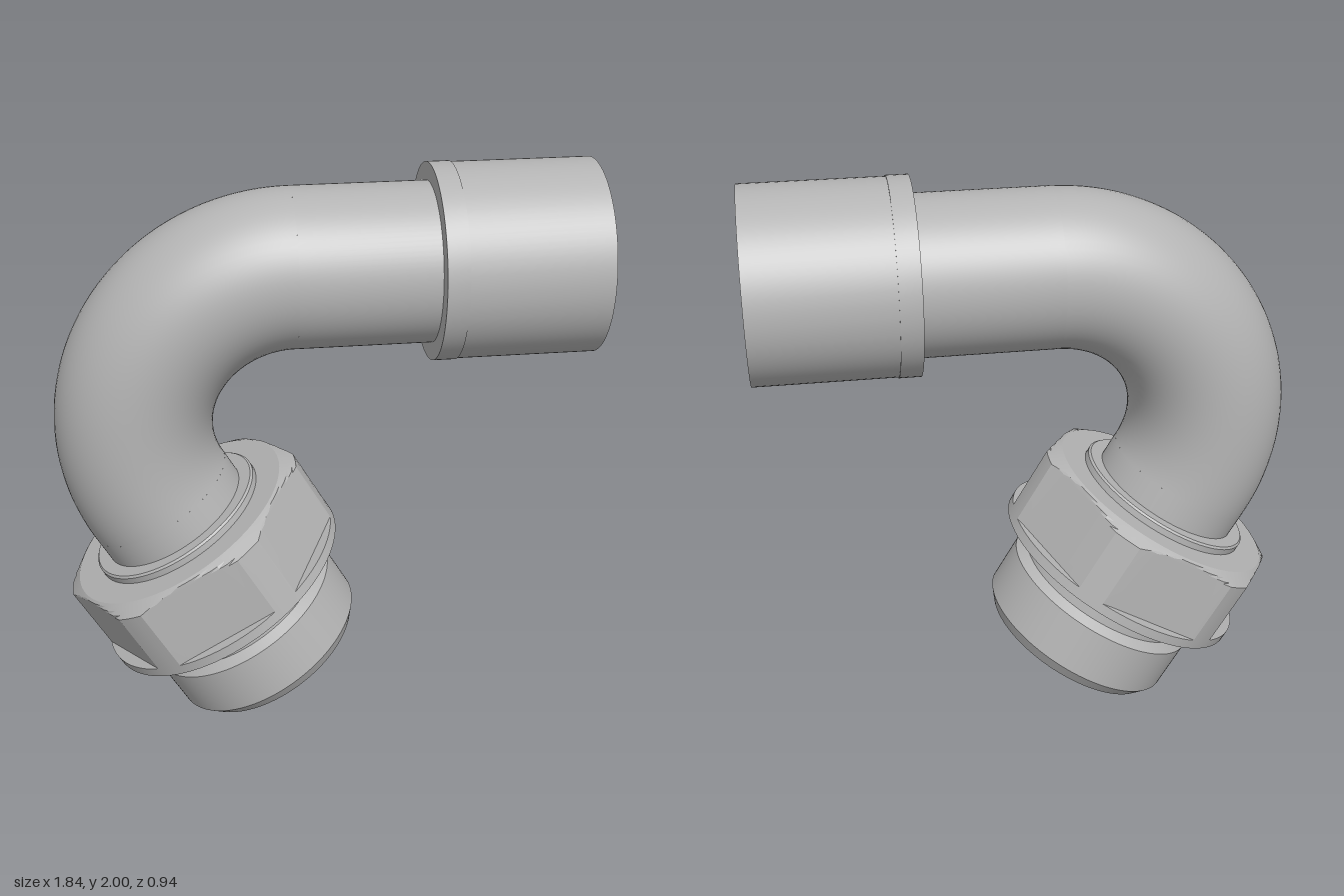
import * as THREE from 'three';
import { toCreasedNormals } from 'three/addons/utils/BufferGeometryUtils.js';

const BEND = 0.55;   // centreline radius of the elbow
const TUBE = 0.272;  // outer tube radius
const BORE = 0.225;  // inner tube radius

export function createModel() {
  const model = new THREE.Group();
  model.name = 'elbowPipeFitting';
  const metal = new THREE.MeshStandardMaterial({ color: 0xb4b4b4, side: THREE.DoubleSide });
  metal.name = 'greyMetal';

  const add = (parent, name, geometry) => {
    const mesh = new THREE.Mesh(geometry, metal);
    mesh.name = name;
    parent.add(mesh);
    return mesh;
  };
  // profile of [radius, distance along axis], turned with crisp corners
  const turned = (profile) => toCreasedNormals(
    new THREE.LatheGeometry(profile.map(([r, t]) => new THREE.Vector2(r, t)), 96), 0.3);

  // 120 degree elbow, outside wall and bore
  const elbow = new THREE.Group();
  elbow.name = 'elbow';
  elbow.position.set(-0.1, 1.12, 0);
  elbow.rotation.z = Math.PI / 2;
  model.add(elbow);
  add(elbow, 'elbowOuterWall', new THREE.TorusGeometry(BEND, TUBE, 64, 72, Math.PI * 2 / 3));
  add(elbow, 'elbowBore', new THREE.TorusGeometry(BEND, BORE, 64, 72, Math.PI * 2 / 3));

  // horizontal outlet: its local y axis runs along +x
  const outlet = new THREE.Group();
  outlet.name = 'outlet';
  outlet.position.set(-0.1, 1.67, 0);
  outlet.rotation.z = -Math.PI / 2;
  model.add(outlet);
  add(outlet, 'outletTube', turned([
    [TUBE, 0], [TUBE, 0.9], [0.265, 0.98], [0.265, 1.0], [0.25, 1.01], [BORE, 1.01], [BORE, 0]]));
  add(outlet, 'outletSleeve', turned([
    [TUBE, 0.465], [0.333, 0.465], [0.333, 0.54], [0.33, 0.54], [0.33, 1.02],
    [0.314, 1.02], [0.288, 0.92], [0.262, 0.92]]));

  // inclined inlet: its local y axis runs down and to the right
  const inlet = new THREE.Group();
  inlet.name = 'inlet';
  inlet.position.set(-0.1 - BEND * Math.cos(Math.PI / 6), 1.12 - BEND / 2, 0);
  inlet.rotation.z = -Math.PI * 5 / 6;
  model.add(inlet);
  add(inlet, 'inletTube', turned([[TUBE, 0], [TUBE, 0.13]]));
  add(inlet, 'nutCollar', turned([[TUBE, 0.095], [0.318, 0.095], [0.325, 0.102], [0.325, 0.13]]));
  add(inlet, 'inletSpigot', turned([
    [0.335, 0.42], [0.335, 0.53], [0.37, 0.555], [0.37, 0.737], [0.337, 0.782],
    [0.303, 0.782], [BORE, 0.41], [BORE, 0]]));
  add(inlet, 'hexNut', nutGeometry());
  return model;
}

// Hexagon cut into a round blank, with a conical top chamfer and a round flange
function nutGeometry() {
  const SIDES = 90, FLAT = 0.43, ROUND = 0.47;
  // [radius limit, distance along axis, is hexagonal]
  const rings = [
    [0.26, 0.125, false], [0.42, 0.125, false], [0.43, 0.131, true], [0.443, 0.139, true],
    [0.457, 0.148, true], [ROUND, 0.156, true], [ROUND, 0.4, true], [ROUND, 0.402, false],
    [ROUND, 0.438, false], [0.33, 0.438, false]];
  const positions = [], index = [];
  rings.forEach(([limit, t, hex], k) => {
    for (let i = 0; i < SIDES; i++) {
      const degrees = i * 360 / SIDES;
      const fromFlat = ((degrees + 30) % 60) - 30;
      const a = THREE.MathUtils.degToRad(degrees);
      const r = hex ? Math.min(limit, FLAT / Math.cos(THREE.MathUtils.degToRad(fromFlat))) : limit;
      positions.push(r * Math.sin(a), t, r * Math.cos(a));
      if (k === 0) continue;
      const j = (i + 1) % SIDES, low = (k - 1) * SIDES, high = k * SIDES;
      index.push(low + i, low + j, high + j, low + i, high + j, high + i);
    }
  });
  const geometry = new THREE.BufferGeometry();
  geometry.setAttribute('position', new THREE.Float32BufferAttribute(positions, 3));
  geometry.setIndex(index);
  return toCreasedNormals(geometry, 0.25);
}
